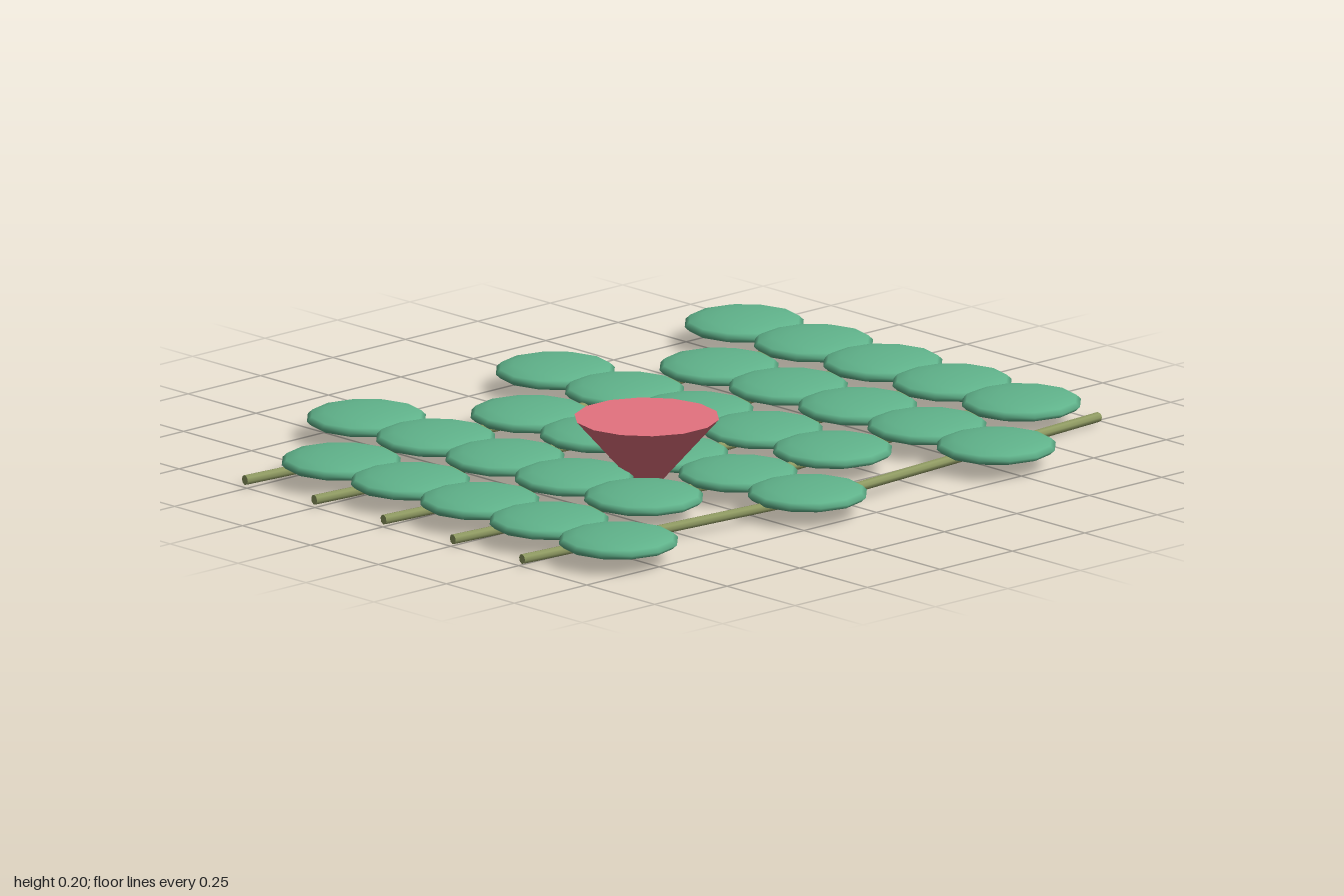
import * as THREE from 'three';

const leafGreen = new THREE.MeshStandardMaterial({ color: 0x60b38b });
leafGreen.name = 'leafGreen';
const stemOlive = new THREE.MeshStandardMaterial({ color: 0x8f9a62 });
stemOlive.name = 'stemOlive';
const budPink = new THREE.MeshStandardMaterial({ color: 0xe4727f });
budPink.name = 'budPink';

const SPACING = 0.255;

// A thin rod between two points
function rod(a, b, radius) {
  const dir = b.clone().sub(a);
  const mesh = new THREE.Mesh(new THREE.CylinderGeometry(radius, radius, dir.length(), 8), stemOlive);
  mesh.position.copy(a).add(b).multiplyScalar(0.5);
  mesh.quaternion.setFromUnitVectors(new THREE.Vector3(0, 1, 0), dir.normalize());
  return mesh;
}

export function createModel() {
  const model = new THREE.Group();
  model.name = 'leafMat';

  // Six staggered rows of five flattened leaves
  const leafGeometry = new THREE.SphereGeometry(0.154, 12, 8).scale(1, 0.19, 1);
  for (let row = 0; row < 6; row++) {
    const group = new THREE.Group();
    group.name = 'leafRow';
    for (let i = 0; i < 5; i++) {
      const leaf = new THREE.Mesh(leafGeometry, leafGreen);
      leaf.name = 'leaf';
      leaf.position.set((i - 2.5 + (row % 2)) * SPACING, 0.054, -0.845 + row * 0.326);
      group.add(leaf);
    }
    model.add(group);
  }

  // Five stems, each bent sideways and upward at the middle
  for (let i = -2; i <= 2; i++) {
    const x = i * SPACING;
    const front = new THREE.Vector3(x, 0.02, 0.998);
    const middle = new THREE.Vector3(x + 0.14, 0.041, 0);
    const back = new THREE.Vector3(x, 0.014, -0.99);
    const stem = new THREE.Group();
    stem.name = 'stem';
    stem.add(rod(front, middle, 0.013), rod(middle, back, 0.013));
    model.add(stem);
  }

  // Flared bud with faceted sides
  const budGeometry = new THREE.CylinderGeometry(0.184, 0.038, 0.165, 14).toNonIndexed();
  budGeometry.computeVertexNormals();
  const bud = new THREE.Mesh(budGeometry, budPink);
  bud.name = 'bud';
  bud.position.set(0.212, 0.114, 0.288);
  model.add(bud);

  return model;
}
